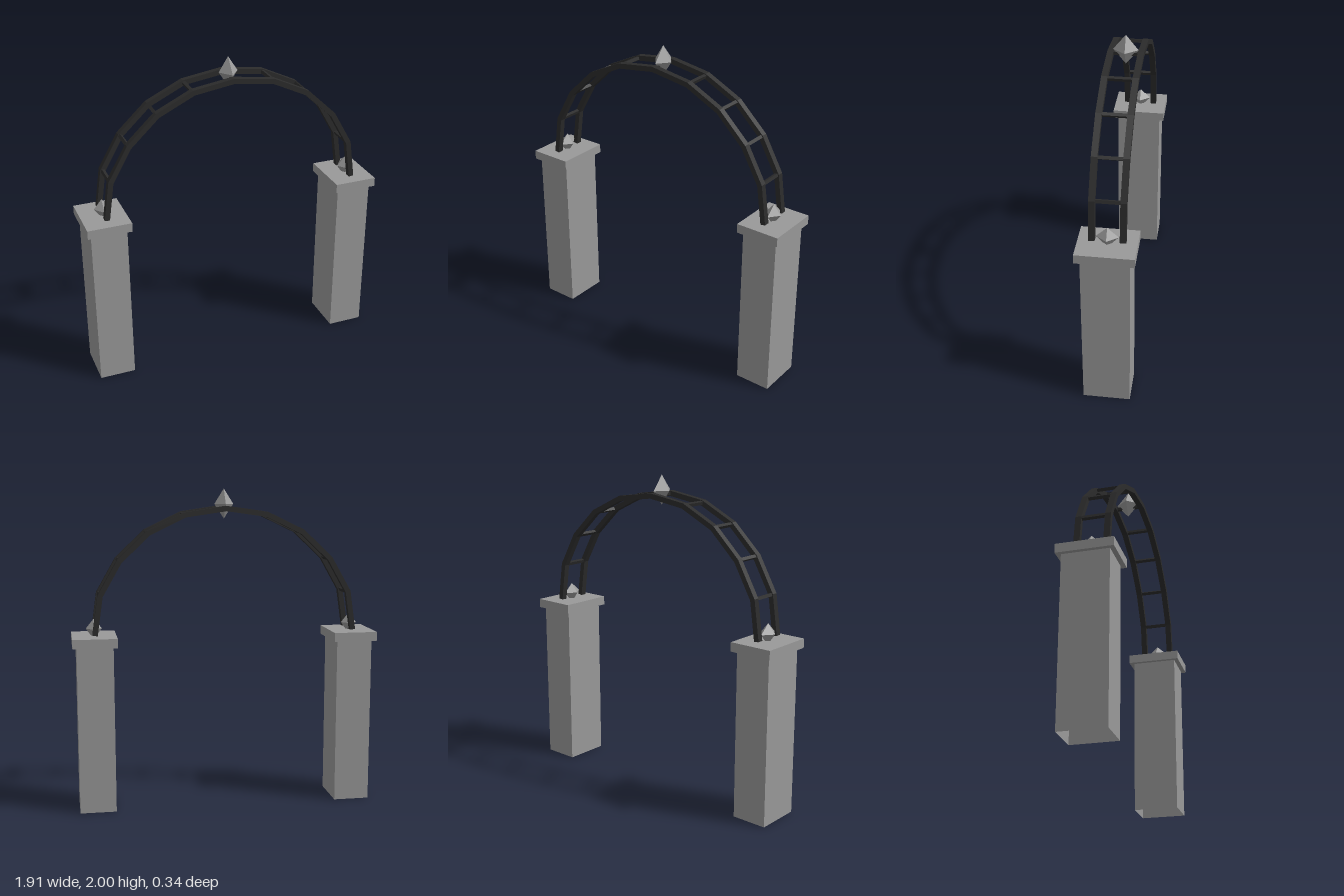
import * as THREE from 'three';

const stone = new THREE.MeshStandardMaterial({ color: 0x999999, flatShading: true, side: THREE.DoubleSide });
stone.name = 'stone grey';
const iron = new THREE.MeshStandardMaterial({ color: 0x2b2b2b, flatShading: true });
iron.name = 'dark iron';

const PILLAR_X = 0.818;
const RAIL_Z = 0.09, RAIL_DEPTH = 0.037, RAIL_THICK = 0.032;

function add(parent, name, geometry, material, x = 0, y = 0, z = 0) {
  const mesh = new THREE.Mesh(geometry, material);
  mesh.name = name;
  mesh.position.set(x, y, z);
  parent.add(mesh);
  return mesh;
}

// Four-sided double pyramid: half widths rx and rz, heights above and below its waist
function finialGeometry(rx, rz, up, down) {
  const g = new THREE.OctahedronGeometry(1);
  const p = g.attributes.position;
  for (let i = 0; i < p.count; i++) {
    const y = p.getY(i);
    p.setXYZ(i, p.getX(i) * rx, y * (y > 0 ? up : down), p.getZ(i) * rz);
  }
  g.computeVertexNormals();
  return g;
}

// Mitred strip following the arch line, extruded to the rail's depth
function railGeometry(line) {
  const outer = [], inner = [];
  line.forEach((pt, i) => {
    const a = pt.clone().sub(line[Math.max(i - 1, 0)]).normalize();
    const b = line[Math.min(i + 1, line.length - 1)].clone().sub(pt).normalize();
    const dir = a.clone().add(b).normalize();
    const normal = new THREE.Vector2(-dir.y, dir.x);
    const cos = dir.dot(a.lengthSq() > 0 ? a : b);
    const offset = normal.multiplyScalar(RAIL_THICK / 2 / cos);
    outer.push(pt.clone().add(offset));
    inner.unshift(pt.clone().sub(offset));
  });
  const g = new THREE.ExtrudeGeometry(new THREE.Shape([...outer, ...inner]), { depth: RAIL_DEPTH, bevelEnabled: false });
  return g.translate(0, 0, -RAIL_DEPTH / 2);
}

export function createModel() {
  const model = new THREE.Group();
  model.name = 'gardenArch';

  // Pillars with caps and small finials; the shafts are open underneath
  const shaft = new THREE.BoxGeometry(0.225, 1.045, 0.286);
  const index = Array.from(shaft.index.array);
  index.splice(18, 6); // drop the bottom face
  shaft.setIndex(index);
  shaft.clearGroups();
  for (const side of [1, -1]) {
    const pillar = new THREE.Group();
    pillar.name = side > 0 ? 'leftPillar' : 'rightPillar';
    pillar.position.x = side * PILLAR_X;
    add(pillar, 'shaft', shaft, stone, 0, 0.5225, 0);
    add(pillar, 'cap', new THREE.BoxGeometry(0.275, 0.057, 0.345), stone, 0, 1.0735, 0);
    add(pillar, 'smallFinial', finialGeometry(0.05, 0.066, 0.06, 0.07), stone, 0, 1.145, 0);
    model.add(pillar);
  }

  // Arch line from right to left
  const half = [[0.815, 1.113], [0.78, 1.355], [0.66, 1.565], [0.48, 1.735], [0.255, 1.843]];
  const line = [
    ...half.map(([x, y]) => new THREE.Vector2(-x, y)),
    new THREE.Vector2(0, 1.88),
    ...half.slice().reverse().map(([x, y]) => new THREE.Vector2(x, y)),
  ];

  // Front and back rails
  const rail = railGeometry(line);
  add(model, 'frontRail', rail, iron, 0, 0, RAIL_Z);
  add(model, 'backRail', rail, iron, 0, 0, -RAIL_Z);

  // Rungs at every joint between the ends
  const rung = new THREE.BoxGeometry(0.02, 0.02, RAIL_Z * 2 - 0.02);
  for (let i = 1; i < line.length - 1; i++) {
    const mesh = add(model, 'rung', rung, iron, line[i].x, line[i].y, 0);
    const d = line[i + 1].clone().sub(line[i - 1]);
    mesh.rotation.z = Math.atan2(d.y, d.x);
  }

  // Large finial at the crown
  add(model, 'crownFinial', finialGeometry(0.06, 0.076, 0.095, 0.09), stone, 0, 1.905, 0);

  return model;
}
